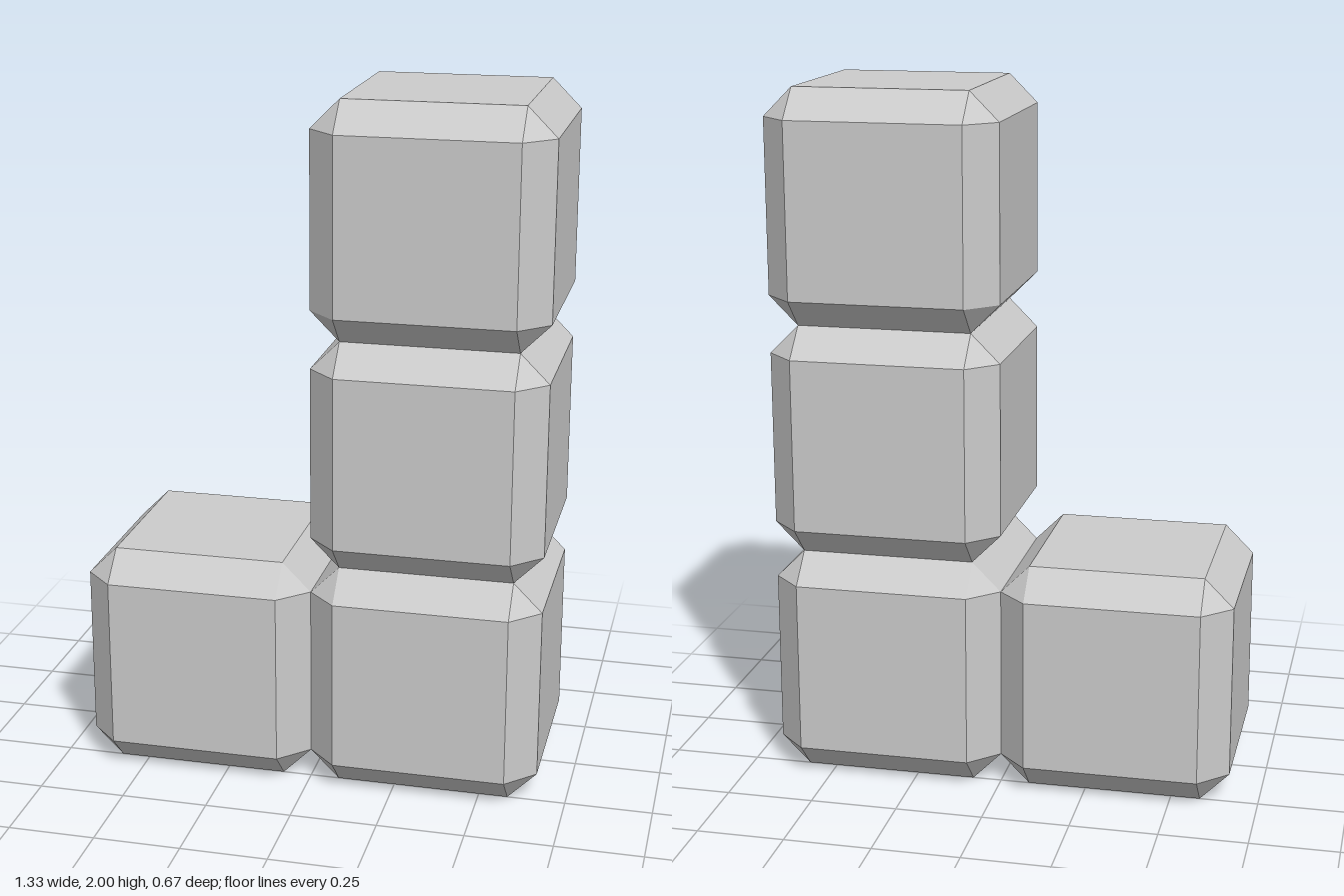
import * as THREE from 'three';
import { ConvexGeometry } from 'three/addons/geometries/ConvexGeometry.js';

const SIZE = 2 / 3;        // edge length of one block
const HALF = SIZE / 2;
const INNER = 0.25;        // half width of each flat face inside its bevel

// Cube with chamfered edges and triangular corners
function chamferedCube() {
  const points = [];
  for (const x of [-1, 1]) for (const y of [-1, 1]) for (const z of [-1, 1]) {
    points.push(
      new THREE.Vector3(x * HALF, y * INNER, z * INNER),
      new THREE.Vector3(x * INNER, y * HALF, z * INNER),
      new THREE.Vector3(x * INNER, y * INNER, z * HALF),
    );
  }
  return new ConvexGeometry(points);
}

export function createModel() {
  const group = new THREE.Group();
  group.name = 'blockPiece';
  const material = new THREE.MeshStandardMaterial({ color: 0xcccccc, flatShading: true });
  const geometry = chamferedCube();

  // Column of three blocks with a foot block beside its base
  const cells = [
    ['footBlock', -0.5, 0],
    ['columnBottomBlock', 0.5, 0],
    ['columnMiddleBlock', 0.5, 1],
    ['columnTopBlock', 0.5, 2],
  ];
  for (const [name, column, row] of cells) {
    const block = new THREE.Mesh(geometry, material);
    block.name = name;
    block.position.set(column * SIZE, (row + 0.5) * SIZE, 0);
    group.add(block);
  }
  return group;
}
